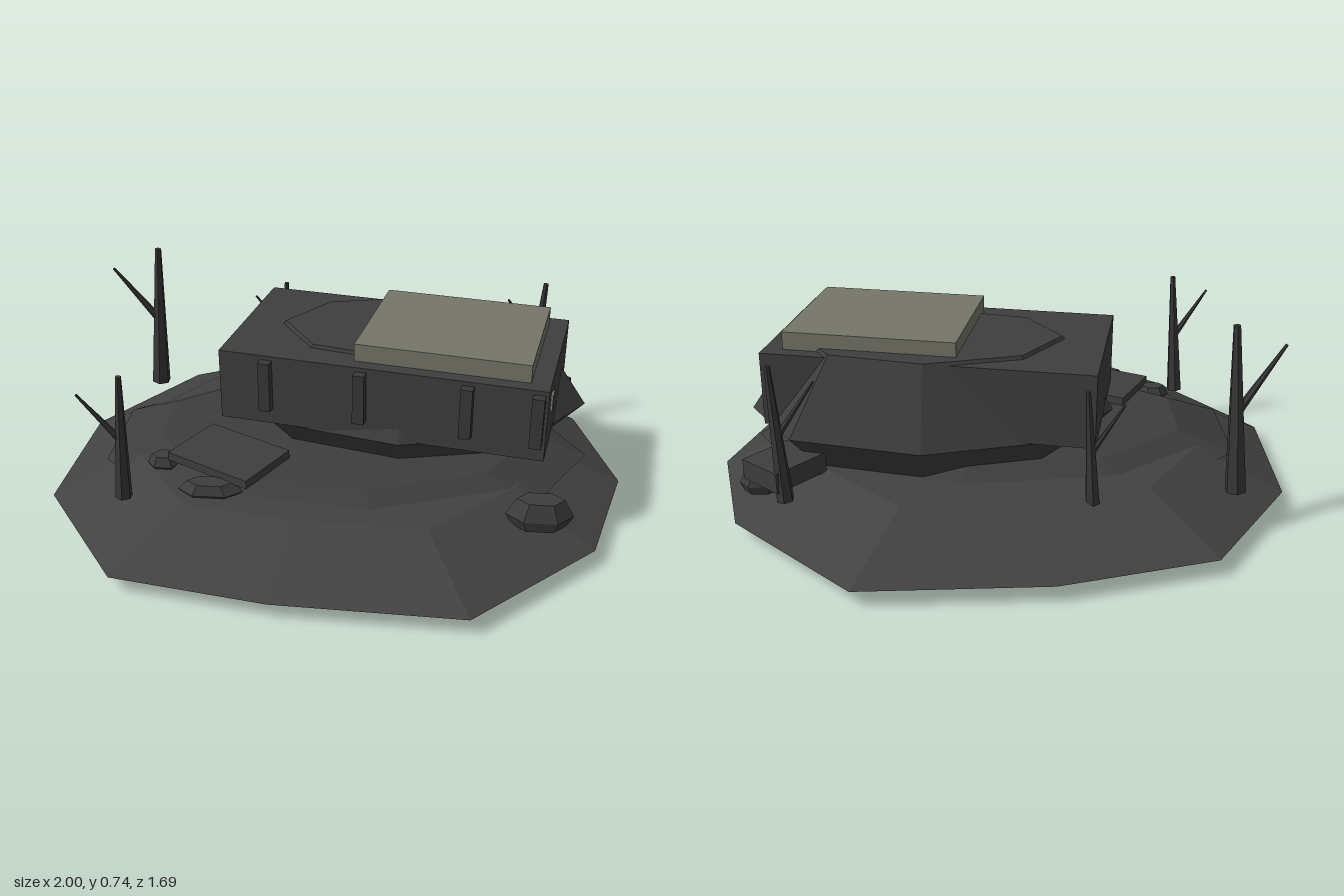
import * as THREE from 'three';

const mat = (name, color) => {
  const m = new THREE.MeshStandardMaterial({ color, flatShading: true });
  m.name = name;
  return m;
};

// Stacked rings of one outline ([x, z] points); levels are [y, scale] from bottom to top
function loft(outline, levels) {
  const n = outline.length, pos = [];
  const at = (l, i) => {
    const [y, s] = levels[l], [x, z] = outline[i % n];
    return [x * s, y, z * s];
  };
  const last = levels.length - 1;
  for (let i = 0; i < n; i++) {
    for (let l = 0; l < last; l++) {
      const a = at(l, i), b = at(l, i + 1), c = at(l + 1, i), d = at(l + 1, i + 1);
      pos.push(...a, ...c, ...b, ...b, ...c, ...d);
    }
    pos.push(0, levels[0][0], 0, ...at(0, i), ...at(0, i + 1));
    pos.push(0, levels[last][0], 0, ...at(last, i + 1), ...at(last, i));
  }
  const g = new THREE.BufferGeometry();
  g.setAttribute('position', new THREE.Float32BufferAttribute(pos, 3));
  g.computeVertexNormals();
  return g;
}

const ellipse = (n, rx, rz, turn = 0) => Array.from({ length: n }, (_, i) => {
  const a = turn + (i / n) * Math.PI * 2;
  return [Math.cos(a) * rx, Math.sin(a) * rz];
});

export function createModel() {
  const model = new THREE.Group();
  const ground = mat('ash ground', 0x424242);
  const scorched = mat('scorched earth', 0x3d3d3d);
  const hullMat = mat('burnt hull', 0x3e3e3e);
  const wood = mat('charred wood', 0x383838);
  const olive = mat('faded olive', 0x757569);

  const add = (name, geometry, material, x = 0, y = 0, z = 0, parent = model) => {
    const m = new THREE.Mesh(geometry, material);
    m.name = name;
    m.position.set(x, y, z);
    parent.add(m);
    return m;
  };
  const box = (w, h, d) => new THREE.BoxGeometry(w, h, d);

  // Ground island and the low mound on it
  const shore = [[1, 0.01], [0.87, 0.45], [0.46, 0.84], [-0.16, 0.82], [-0.68, 0.73], [-1, 0.28],
    [-0.98, -0.25], [-0.68, -0.69], [-0.16, -0.83], [0.46, -0.85], [0.88, -0.44]];
  add('groundIsland', loft(shore, [[0, 0.82], [0.06, 1], [0.205, 0.7]]), ground);
  add('scorchedMound', loft(ellipse(9, 0.87, 0.54), [[0.17, 1], [0.24, 0.77]]), scorched, 0, 0, 0.02);

  // Faceted hull
  add('facetedHull', loft(ellipse(8, 0.63, 0.37, 0.04), [[0.18, 0.77], [0.32, 1], [0.592, 0.71]]),
    hullMat, 0.235, 0, -0.1);

  // Box body with ribs along its front side, roof slab and end window
  const body = new THREE.Group();
  body.name = 'body';
  body.position.set(0.193, 0, -0.05);
  body.rotation.y = -0.19;
  model.add(body);
  add('bodyShell', box(1.12, 0.255, 0.58), hullMat, 0, 0.4525, 0, body);
  for (const x of [-0.39, -0.06, 0.3, 0.53]) {
    add('sideRib', box(0.04, 0.18, 0.035), wood, x, 0.475, 0.305, body);
  }
  add('roofSlab', box(0.59, 0.07, 0.485), olive, 0.2, 0.607, 0.0, body);
  add('endWindow', box(0.009, 0.055, 0.038), olive, 0.563, 0.507, 0.205, body);

  // Torn panels lying on the ground
  const front = add('fallenPanel', box(0.335, 0.03, 0.24), hullMat, -0.365, 0.255, 0.275);
  front.rotation.y = -0.5;
  const rear = add('rearPanel', box(0.21, 0.07, 0.17), hullMat, 0.715, 0.235, -0.365);
  rear.rotation.y = 0.85;

  // Rocks: x, base y, z, half width, half depth, height
  for (const [x, y, z, rx, rz, h] of [
    [0.68, 0.15, 0.45, 0.11, 0.06, 0.1],
    [-0.4, 0.19, 0.43, 0.11, 0.05, 0.055],
    [-0.59, 0.19, 0.27, 0.06, 0.045, 0.055],
    [0.8, 0.14, -0.36, 0.07, 0.045, 0.075],
  ]) {
    add('rock', loft(ellipse(6, rx, rz), [[0, 0.8], [h * 0.4, 1], [h, 0.7]]), scorched, x, y, z);
  }

  // Tapered limb between two points
  const up = new THREE.Vector3(0, 1, 0);
  const limb = (name, from, to, r0, r1, parent) => {
    const a = new THREE.Vector3(...from), d = new THREE.Vector3(...to).sub(a);
    const g = new THREE.CylinderGeometry(r1, r0, d.length(), 6);
    const m = add(name, g, wood, 0, 0, 0, parent);
    m.position.copy(a).addScaledVector(d, 0.5);
    m.quaternion.setFromUnitVectors(up, d.normalize());
  };

  // Dead trees: x, z, height
  for (const [x, z, h] of [[-0.77, -0.43, 0.57], [-0.7, 0.42, 0.46], [-0.29, -0.545, 0.4], [0.7, -0.475, 0.46]]) {
    const tree = new THREE.Group();
    tree.name = 'deadTree';
    tree.position.set(x, 0.165, z);
    tree.scale.setScalar(h / 0.57);
    model.add(tree);
    limb('trunk', [0, 0, 0], [0.035, 0.57, 0.025], 0.036, 0.012, tree);
    limb('branch', [0.025, 0.26, 0.01], [-0.135, 0.495, 0.05], 0.016, 0.005, tree);
  }

  return model;
}
